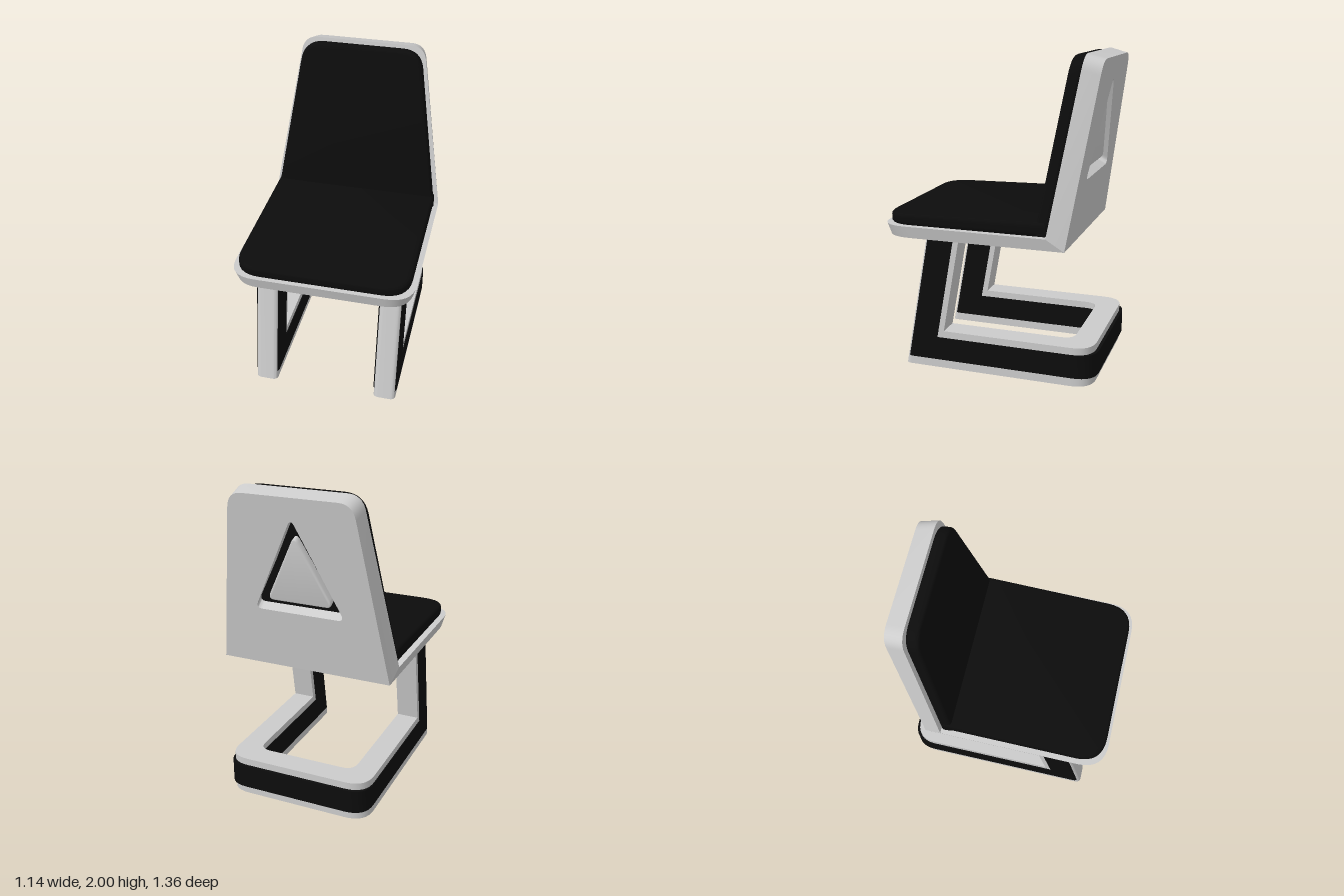
import * as THREE from 'three';
import { toCreasedNormals } from 'three/addons/utils/BufferGeometryUtils.js';

const grey = new THREE.MeshStandardMaterial({ color: 0xcccccc });
const black = new THREE.MeshStandardMaterial({ color: 0x0c0c0c });
const lerp = THREE.MathUtils.lerp;

// Closed outline from [x, y, cornerRadius] points
function outline(points, Type = THREE.Shape) {
  const path = new Type();
  const n = points.length;
  points.forEach(([x, y, r = 0], i) => {
    const p = new THREE.Vector2(x, y);
    const toward = (q) => new THREE.Vector2(q[0], q[1]).sub(p).setLength(r).add(p);
    const a = toward(points[(i + n - 1) % n]);
    const b = toward(points[(i + 1) % n]);
    if (i === 0) path.moveTo(a.x, a.y);
    else path.lineTo(a.x, a.y);
    if (r) path.quadraticCurveTo(x, y, b.x, b.y);
  });
  path.closePath();
  return path;
}

// Slab from an outline; map(u, v, t) places each point, t running 0..1 through the thickness
function slab(name, material, shape, thickness, map, bevel = 0) {
  const geometry = new THREE.ExtrudeGeometry(shape, {
    depth: thickness - 2 * bevel,
    curveSegments: 8,
    bevelEnabled: bevel > 0,
    bevelSize: bevel,
    bevelThickness: bevel,
    bevelOffset: -bevel,
    bevelSegments: 4,
  });
  const pos = geometry.attributes.position;
  for (let i = 0; i < pos.count; i++) {
    const t = (pos.getZ(i) + bevel) / thickness;
    pos.setXYZ(i, ...map(pos.getX(i), pos.getY(i), t));
  }
  const mesh = new THREE.Mesh(toCreasedNormals(geometry, 0.6), material);
  mesh.name = name;
  return mesh;
}

// Triangle with rounded corners, grown or shrunk by a margin
function triangle(margin, Type) {
  return outline([
    [-0.3 - margin * 1.6, 0.364 - margin, 0.05],
    [0.3 + margin * 1.6, 0.364 - margin, 0.05],
    [0, 0.94 + margin * 2.2, 0.05],
  ], Type);
}

// Plan of the U-shaped base; v runs to the rear
function basePlan(side, rear) {
  const o = 0.475 + side, i = 0.33 - side, back = 0.66 + rear, inner = 0.51 - side;
  return outline([
    [-o, -0.42], [-o, back, 0.14], [o, back, 0.14], [o, -0.42],
    [i, -0.42], [i, inner, 0.08], [-i, inner, 0.08], [-i, -0.42],
  ]);
}

// Plan of a leg, with rounded front corners
function legPlan(s, side, front, rear) {
  const a = s * (0.33 - side), b = s * (0.475 + side);
  return outline([[a, -front, 0.035], [b, -front, 0.035], [b, -rear], [a, -rear]]);
}

export function createModel() {
  const group = new THREE.Group();

  // Seat pan, mitred against the back shell
  const pan = outline([[-0.57, 0, 0.17], [0.57, 0, 0.17], [0.57, 1.07], [-0.57, 1.07]]);
  group.add(slab('seatPan', grey, pan, 0.075, (u, v, t) => [
    u * lerp(0.97, 1, t),
    lerp(0.87, 0.945, t),
    lerp(lerp(0.66, -0.5, v / 1.07), lerp(0.68, -0.39, v / 1.07), t),
  ]));

  // Back shell with a triangular opening
  const backMap = (u, v, t) => {
    const h = v / 1.055;
    return [
      u * lerp(0.97, 1, t),
      lerp(lerp(0.87, 1.97, h), lerp(0.945, 2, h), t),
      lerp(lerp(-0.5, -0.67, h), lerp(-0.39, -0.56, h), t),
    ];
  };
  const shell = outline([[-0.57, 0], [0.57, 0], [0.393, 1.055, 0.09], [-0.393, 1.055, 0.09]]);
  shell.holes.push(triangle(0, THREE.Path));
  group.add(slab('backShell', grey, shell, 0.11, backMap));

  // Dark floor and raised centre of the opening
  group.add(slab('recessFloor', black, triangle(0.01), 0.03,
    (u, v, t) => backMap(u, v, lerp(0.5, 0.8, t))));
  group.add(slab('recessPanel', grey, triangle(-0.05), 0.04,
    (u, v, t) => backMap(u, v, lerp(0.15, 0.55, t)), 0.008));

  // Seat cushion, slightly thicker at the rear
  const seatPad = outline([[-0.54, 0, 0.17], [0.54, 0, 0.17], [0.54, 1.04], [-0.54, 1.04]]);
  group.add(slab('seatCushion', black, seatPad, 0.075, (u, v, t) => [
    u, 0.943 + t * lerp(0.07, 0.093, v / 1.04), 0.66 - v,
  ], 0.022));

  // Back cushion, lying on the shell's front face
  const backPad = outline([[-0.542, 0], [0.542, 0], [0.378, 1.05, 0.12], [-0.378, 1.05, 0.12]]);
  group.add(slab('backCushion', black, backPad, 0.08, (u, v, t) => [
    u,
    0.945 + 0.987 * v + 0.013 * t,
    -0.39 - 0.159 * v + 0.079 * t,
  ], 0.022));

  // Base runners joined at the rear, with a dark band around them
  const baseMap = (y0, y1) => (u, v, t) => [u, lerp(y0, y1, t), -v];
  group.add(slab('base', grey, basePlan(0, 0), 0.25, baseMap(0, 0.25)));
  group.add(slab('baseBand', black, basePlan(0.006, 0.02), 0.15, baseMap(0.055, 0.205)));

  // Raked front legs, with dark bands on both sides
  const legMap = (y0, y1) => (u, v, t) => {
    const y = lerp(y0, y1, t);
    return [u, y, -v - 0.18 * y];
  };
  for (const [s, side] of [[1, 'left'], [-1, 'right']]) {
    group.add(slab(side + 'Leg', grey, legPlan(s, 0, 0.57, 0.346), 0.89, legMap(0, 0.89)));
    group.add(slab(side + 'LegBand', black, legPlan(s, 0.006, 0.562, 0.383), 0.835, legMap(0.055, 0.89)));
  }
  return group;
}
